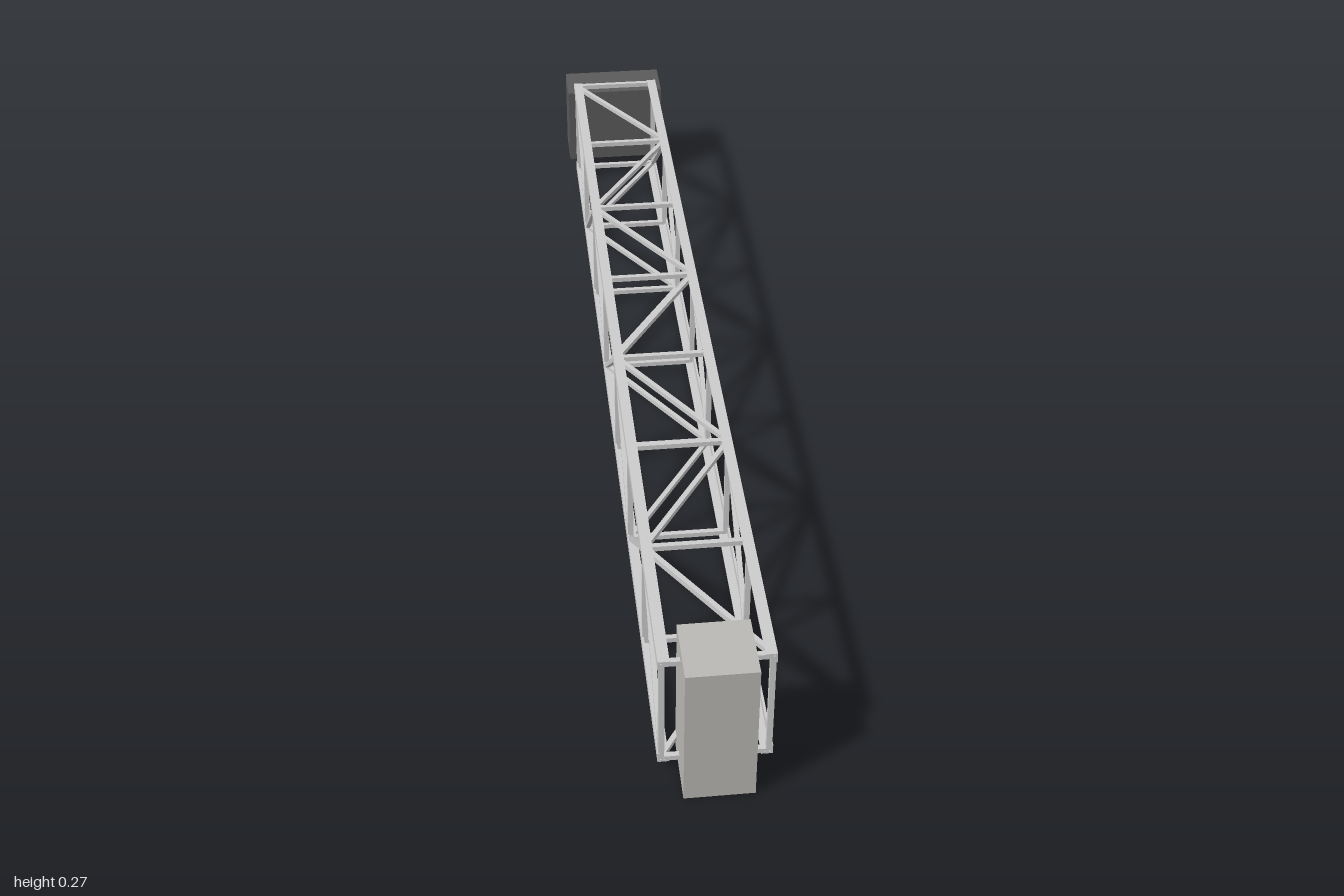
import * as THREE from 'three';

const OUTER_X = 0.0935, LOW = 0.0245, HIGH = 0.2495; // outer faces of the section
const Z_FRONT = 0.942, Z_BACK = -0.904, BAYS = 7;
const LEG = 0.019, WALL = 0.004; // angle-iron chord
const INSET = 0.0063; // bar axis below the outer faces

const steel = new THREE.MeshStandardMaterial({ color: 0xcccccc });
const paleGrey = new THREE.MeshStandardMaterial({ color: 0xb9b8b4 });
const darkGrey = new THREE.MeshStandardMaterial({ color: 0x5a5a5a });

// Square bar between two points, kept flat against the face with this normal
function bar(name, a, b, normal, width) {
  const dir = b.clone().sub(a);
  const mesh = new THREE.Mesh(new THREE.BoxGeometry(width, dir.length(), width), steel);
  mesh.name = name;
  dir.normalize();
  const across = normal.clone().cross(dir);
  mesh.quaternion.setFromRotationMatrix(new THREE.Matrix4().makeBasis(normal, dir, across));
  mesh.position.copy(a).add(b).multiplyScalar(0.5);
  return mesh;
}

// L-section chord whose outer edge is at (side * OUTER_X, y), legs pointing inwards
function chord(side, y) {
  const up = y === LOW ? 1 : -1;
  const profile = [[0, 0], [LEG, 0], [LEG, WALL], [WALL, WALL], [WALL, LEG], [0, LEG]];
  const shape = new THREE.Shape(profile.map(([u, v]) =>
    new THREE.Vector2(side * (OUTER_X - u), y + up * v)));
  const geometry = new THREE.ExtrudeGeometry(shape, { depth: Z_FRONT - Z_BACK, bevelEnabled: false });
  const mesh = new THREE.Mesh(geometry, steel);
  mesh.name = 'chord';
  mesh.position.z = Z_BACK;
  return mesh;
}

function block(name, size, position, material) {
  const mesh = new THREE.Mesh(new THREE.BoxGeometry(...size), material);
  mesh.name = name;
  mesh.position.set(...position);
  return mesh;
}

export function createModel() {
  const model = new THREE.Group();
  model.name = 'latticeBoom';

  // Corners run round the section: left top, right top, right bottom, left bottom
  const corners = [[1, HIGH], [-1, HIGH], [-1, LOW], [1, LOW]];
  const normals = [[0, 1, 0], [-1, 0, 0], [0, -1, 0], [1, 0, 0]];
  const node = (corner, station) => {
    const [side, y] = corners[corner % 4];
    const z = THREE.MathUtils.lerp(Z_FRONT - 0.005, Z_BACK + 0.005, station / BAYS);
    return new THREE.Vector3(side * (OUTER_X - INSET), y + (y === LOW ? INSET : -INSET), z);
  };

  const chords = new THREE.Group();
  chords.name = 'chords';
  const frames = new THREE.Group();
  frames.name = 'crossFrames';
  const braces = new THREE.Group();
  braces.name = 'diagonalBraces';

  for (let c = 0; c < 4; c++) {
    const normal = new THREE.Vector3(...normals[c]);
    chords.add(chord(...corners[c]));
    for (let s = 0; s <= BAYS; s++) {
      frames.add(bar('frameBar', node(c, s), node(c + 1, s), normal, 0.0095));
    }
    // Each face zigzags, opposite faces in opposite phase
    for (let s = 0; s < BAYS; s++) {
      const flip = (c + s) % 2;
      braces.add(bar('brace', node(c + flip, s), node(c + 1 - flip, s + 1), normal, 0.009));
    }
  }
  model.add(chords, frames, braces);

  // Blocks at both ends
  model.add(block('frontHead', [0.116, 0.272, 0.114], [0, 0.136, 0.943], paleGrey));
  model.add(block('rearMount', [0.214, 0.174, 0.096], [0, 0.137, -0.952], darkGrey));
  return model;
}
